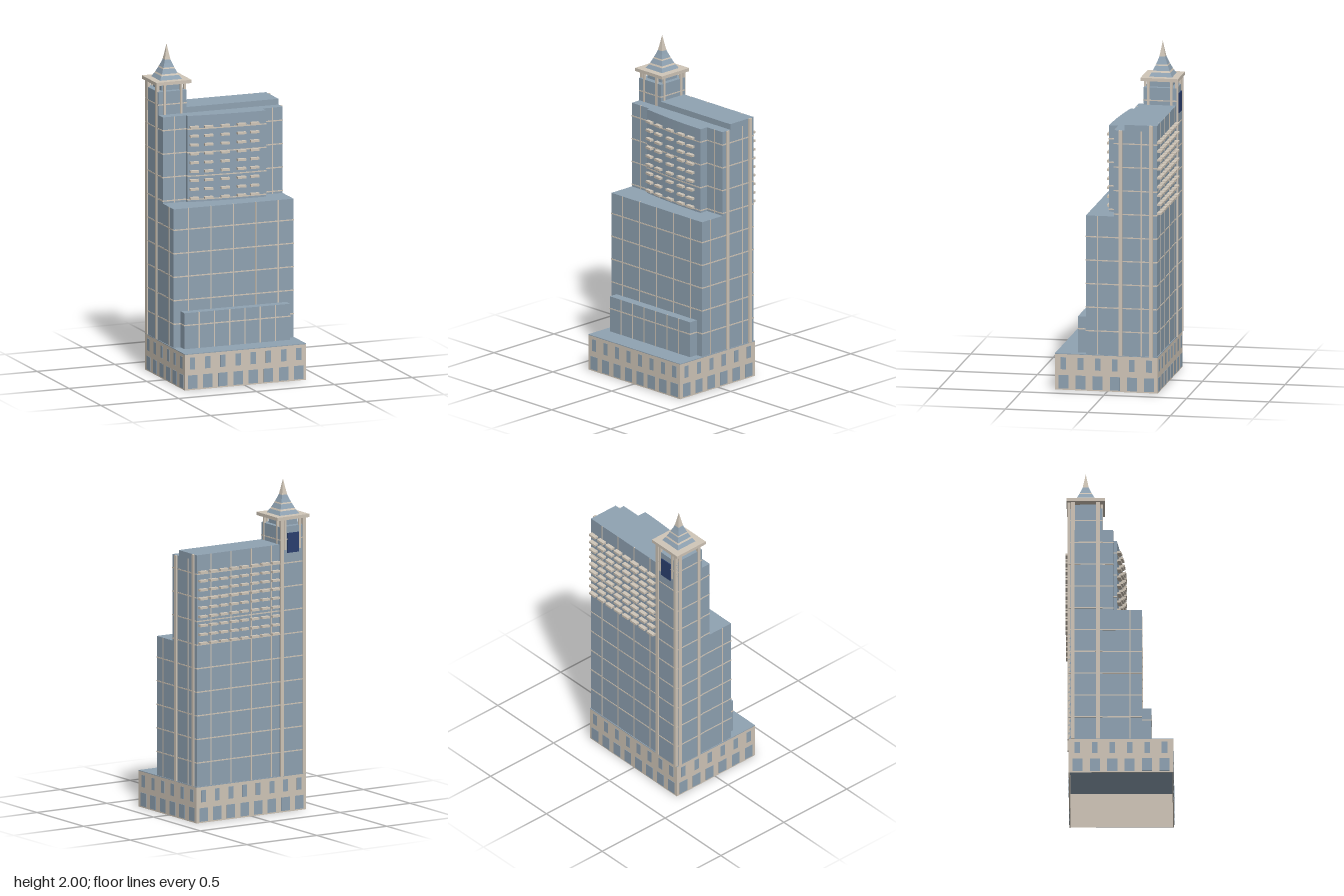
import * as THREE from 'three';

const glass = new THREE.MeshStandardMaterial({ name: 'blueGlass', color: 0x8fa2b2 });
const stone = new THREE.MeshStandardMaterial({ name: 'beigeStone', color: 0xd0c6b8 });
const navy = new THREE.MeshStandardMaterial({ name: 'navyPanel', color: 0x2b4070 });

// Box given by its limits on each axis
function box(parent, name, mat, [x0, x1], [y0, y1], [z0, z1]) {
  const mesh = new THREE.Mesh(new THREE.BoxGeometry(x1 - x0, y1 - y0, z1 - z0), mat);
  mesh.position.set((x0 + x1) / 2, (y0 + y1) / 2, (z0 + z1) / 2);
  mesh.name = name;
  parent.add(mesh);
  return mesh;
}

const around = (c, w) => [c - w / 2, c + w / 2];

// Upper storeys: stepped plan with a gently curved front bay
function upperStorey(parent, name, mat, y0, y1, o = 0) {
  const s = new THREE.Shape();
  s.moveTo(-0.38 - o, 0.3 + o);
  s.lineTo(0.39 + o, 0.3 + o);
  s.lineTo(0.39 + o, 0.04 - o);
  s.lineTo(0.26 + o, 0.04 - o);
  s.lineTo(0.26 + o, -0.015 - o);
  s.quadraticCurveTo(0.02, -0.015 - o, -0.23 - o, 0.02 - o);
  s.lineTo(-0.23 - o, 0.04 - o);
  s.lineTo(-0.38 - o, 0.04 - o);
  const geo = new THREE.ExtrudeGeometry(s, { depth: y1 - y0, bevelEnabled: false, curveSegments: 10 });
  geo.rotateX(-Math.PI / 2);
  const mesh = new THREE.Mesh(geo, mat);
  mesh.position.y = y0;
  mesh.name = name;
  parent.add(mesh);
}

// Hollow stone base with a glass-coloured roof and two rows of windows
function podium() {
  const g = new THREE.Group();
  g.name = 'podium';
  const X = [-0.385, 0.395], Z = [-0.305, 0.317], t = 0.006;
  box(g, 'frontWall', stone, X, [0, 0.217], [Z[1] - t, Z[1]]);
  box(g, 'backWall', stone, X, [0, 0.217], [Z[0], Z[0] + t]);
  for (const [name, x] of [['rightWall', X[0]], ['leftWall', X[1] - t]])
    box(g, name, stone, [x, x + t], [0, 0.217], [Z[0] + t, Z[1] - t]);
  box(g, 'podiumRoof', glass, X, [0.217, 0.221], Z);
  for (const [y, w] of [[[0.008, 0.09], 0.06], [[0.125, 0.198], 0.034]]) {
    for (let i = 0; i < 8; i++) {
      const x = around(X[0] + (i + 0.5) * 0.0975, w);
      for (const z of Z) box(g, 'window', glass, x, y, around(z, 0.004));
    }
    for (let i = 0; i < 6; i++) {
      const z = around(Z[0] + (i + 0.5) * 0.1037, w);
      for (const x of X) box(g, 'window', glass, around(x, 0.004), y, z);
    }
  }
  return g;
}

// Glass blocks and their mullions
function mainBlock() {
  const g = new THREE.Group();
  g.name = 'mainBlock';
  box(g, 'lowerStoreys', glass, [-0.38, 0.39], [0.22, 1.065], [-0.3, 0.13]);
  box(g, 'frontAnnex', glass, [-0.335, 0.345], [0.22, 0.44], [0.1, 0.187]);
  upperStorey(g, 'upperStoreys', glass, 1.065, 1.59);
  box(g, 'topStorey', glass, [-0.25, 0.39], [1.59, 1.625], [-0.3, -0.105]);

  const e = 0.002, w = 0.007;
  for (let i = 0; i < 5; i++)
    box(g, 'floorBand', stone, [-0.38 - e, 0.39 + e], around(0.365 + i * 0.143, w), [-0.3 - e, 0.13 + e]);
  for (let i = 0; i < 4; i++) {
    const y = 1.08 + i * 0.143;
    upperStorey(g, 'upperFloorBand', stone, y - w / 2, y + w / 2, e);
  }
  box(g, 'annexBand', stone, [-0.335 - e, 0.345 + e], around(0.365, w), [0.1, 0.187 + e]);
  for (let i = 0; i < 5; i++) {
    const x = -0.285 + i * 0.144;
    box(g, 'frontMullion', stone, around(x, w), [0.22, 1.065], [0.12, 0.13 + e]);
    if (i > 0) box(g, 'backMullion', stone, around(x, w), [0.22, 1.625], [-0.3 - e, -0.29]);
  }
  for (let i = 0; i < 6; i++)
    box(g, 'annexMullion', stone, around(-0.24 + i * 0.098, w), [0.22, 0.44], [0.18, 0.187 + e]);
  for (const x of [-0.305, 0.325])
    box(g, 'upperMullion', stone, around(x, w), [1.065, 1.59], [-0.05, -0.04 + e]);
  for (const x of [-0.38, 0.39])
    box(g, 'sideMullion', stone, around(x, 2 * e), [0.22, 1.065], around(0.06, w));
  box(g, 'sideMullion', stone, around(0.39, 2 * e), [0.22, 1.59], around(-0.205, w));

  // Stone piers on the left side
  for (const [z, top] of [[-0.265, 1.625], [-0.08, 1.59]])
    box(g, 'sidePier', stone, [0.385, 0.4], [0.22, top], around(z, 0.021));
  return g;
}

// Rows of small ledges on the front bay and the back wall
function ledges() {
  const g = new THREE.Group();
  g.name = 'ledges';
  const front = [[-0.193, 0.004], [-0.105, -0.008], [-0.002, -0.016], [0.1, -0.023], [0.183, -0.026]];
  for (let r = 0; r < 9; r++) {
    const y = around(1.09 + r * 0.054, 0.013);
    front.forEach(([x, mz], i) => {
      const m = box(g, 'frontLedge', stone, around(x, 0.053), y, around(-mz, 0.024));
      m.rotation.y = -0.2 + i * 0.045;
    });
    for (let i = 0; i < 8; i++)
      box(g, 'backLedge', stone, around(-0.162 + i * 0.0738, 0.053), y, [-0.325, -0.295]);
  }
  return g;
}

// Corner tower with piers, belfry, cap slab and spire
function cornerTower() {
  const g = new THREE.Group();
  g.name = 'cornerTower';
  const X = [-0.383, -0.2], Z = [-0.305, -0.105], cx = -0.289, cz = -0.204;
  box(g, 'towerShaft', glass, X, [0.22, 1.73], Z);
  box(g, 'belfryCore', glass, around(cx, 0.12), [1.73, 1.775], around(cz, 0.13));
  for (let i = 0; i < 10; i++)
    box(g, 'towerBand', stone, [X[0] - 0.002, X[1] + 0.002], around(0.365 + i * 0.143, 0.007), [Z[0] - 0.002, Z[1] + 0.002]);

  // Full-height piers on the back and right faces
  for (const x of [-0.372, -0.212])
    box(g, 'backPier', stone, around(x, 0.022), [0.22, 1.775], [-0.312, -0.295]);
  for (const z of [-0.28, -0.13])
    box(g, 'rightPier', stone, [-0.389, -0.37], [0.22, 1.775], around(z, 0.022));

  // Belfry posts
  for (const s of [-1, 1]) {
    for (const z of [Z[0] + 0.003, Z[1] - 0.003])
      box(g, 'belfryPost', stone, around(cx + s * 0.053, 0.014), [1.59, 1.775], around(z, 0.014));
    for (const x of [X[0] + 0.003, X[1] - 0.003])
      box(g, 'belfryPost', stone, around(x, 0.014), [1.59, 1.775], around(cz + s * 0.07, 0.014));
  }
  box(g, 'backPanel', navy, around(-0.292, 0.08), [1.57, 1.69], [-0.311, -0.304]);
  box(g, 'capSlab', stone, [-0.402, -0.175], [1.772, 1.792], [-0.317, -0.09]);

  // Concave four-sided spire in stacked bands: height, half-width, colour below the level
  const levels = [[1.792, 0.07], [1.815, 0.056, glass], [1.825, 0.051, stone], [1.853, 0.038, glass],
    [1.861, 0.035, stone], [1.885, 0.025, glass], [1.905, 0.018, glass], [1.95, 0.009, stone], [2.0, 0, stone]];
  for (let i = 1; i < levels.length; i++) {
    const [y0, h0] = levels[i - 1], [y1, h1, mat] = levels[i];
    const geo = new THREE.CylinderGeometry(h1 * Math.SQRT2, h0 * Math.SQRT2, y1 - y0, 4, 1, true, Math.PI / 4).toNonIndexed();
    geo.computeVertexNormals();
    const m = new THREE.Mesh(geo, mat);
    m.position.set(cx, (y0 + y1) / 2, cz);
    m.name = 'spireBand';
    g.add(m);
  }
  return g;
}

export function createModel() {
  const model = new THREE.Group();
  model.name = 'officeTower';
  model.add(podium(), mainBlock(), ledges(), cornerTower());
  return model;
}
